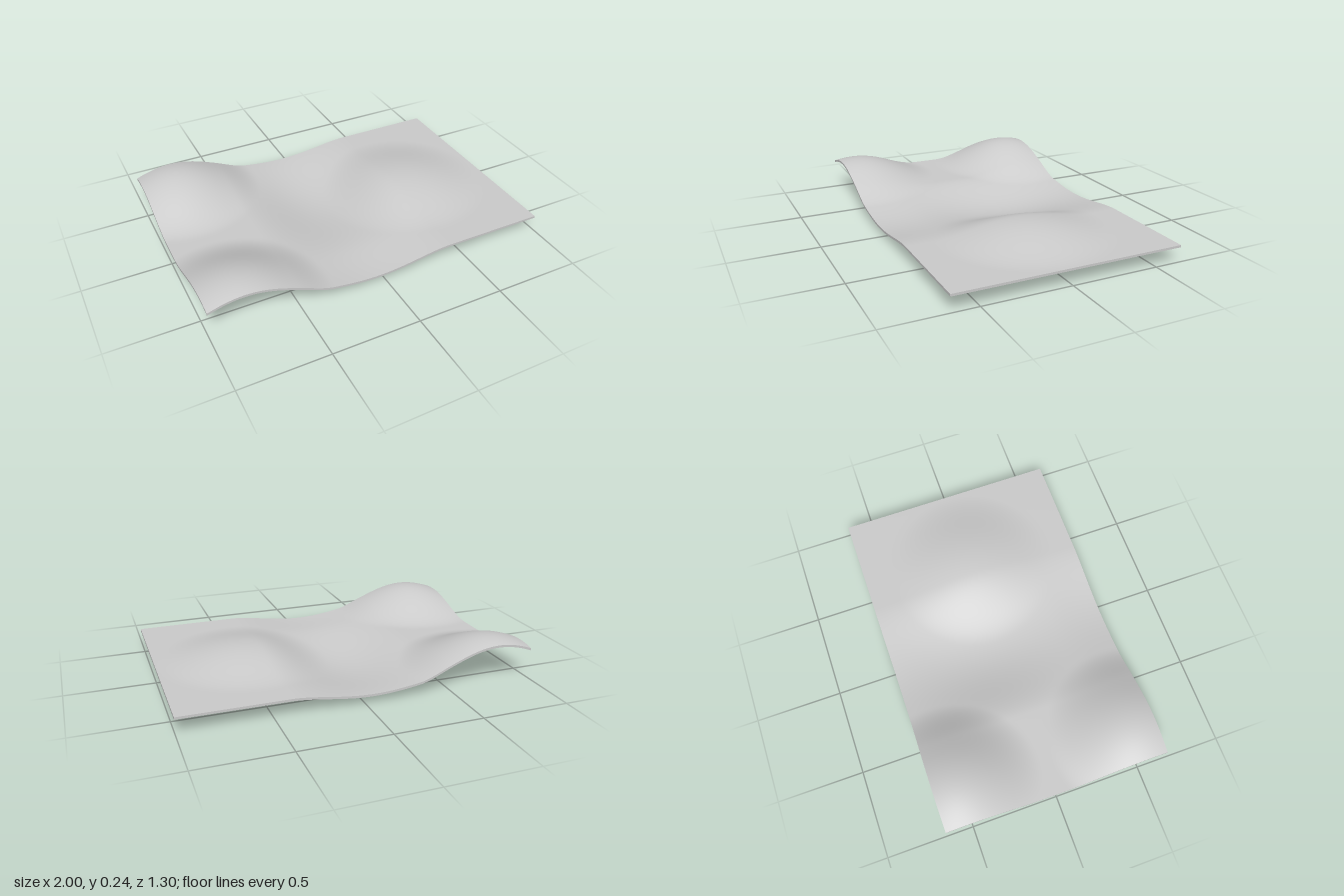
import * as THREE from 'three';

// Smooth round-topped falloff: 1 at the centre, 0 beyond radius r
const falloff = (d, r) => Math.max(0, 1 - (d / r) ** 2) ** 2;

// Rounded hills on the sheet: centre x, centre z, height, radius
const HILLS = [
  [-0.79, -0.53, 0.147, 0.5],
  [-0.80, 0.54, 0.138, 0.5],
  [0.49, 0, 0.066, 0.5],
];

// Height offset of the sheet at (x, z)
function relief(x, z) {
  let y = 0;
  for (const [cx, cz, h, r] of HILLS) y += h * falloff(Math.hypot(x - cx, z - cz), r);
  // Trough running front to back, deepest slightly behind the middle
  const depth = 0.042 + 0.041 * falloff(z + 0.15, 0.55) + 0.006 * falloff(z - 0.65, 0.25);
  return y - depth * falloff(x + 0.05, 0.46);
}

export function createModel() {
  const group = new THREE.Group();
  group.name = 'wavySheet';

  // Thin slab, finely divided and displaced vertically
  const thickness = 0.013;
  const geometry = new THREE.BoxGeometry(2, thickness, 1.3, 120, 1, 78);
  const p = geometry.attributes.position;
  for (let i = 0; i < p.count; i++) {
    p.setY(i, p.getY(i) + relief(p.getX(i), p.getZ(i)));
  }
  geometry.computeVertexNormals();
  geometry.computeBoundingBox();
  geometry.translate(0, -geometry.boundingBox.min.y, 0);

  const sheet = new THREE.Mesh(geometry, new THREE.MeshStandardMaterial({ color: 0xcccccc }));
  sheet.name = 'sheet';
  group.add(sheet);
  return group;
}
